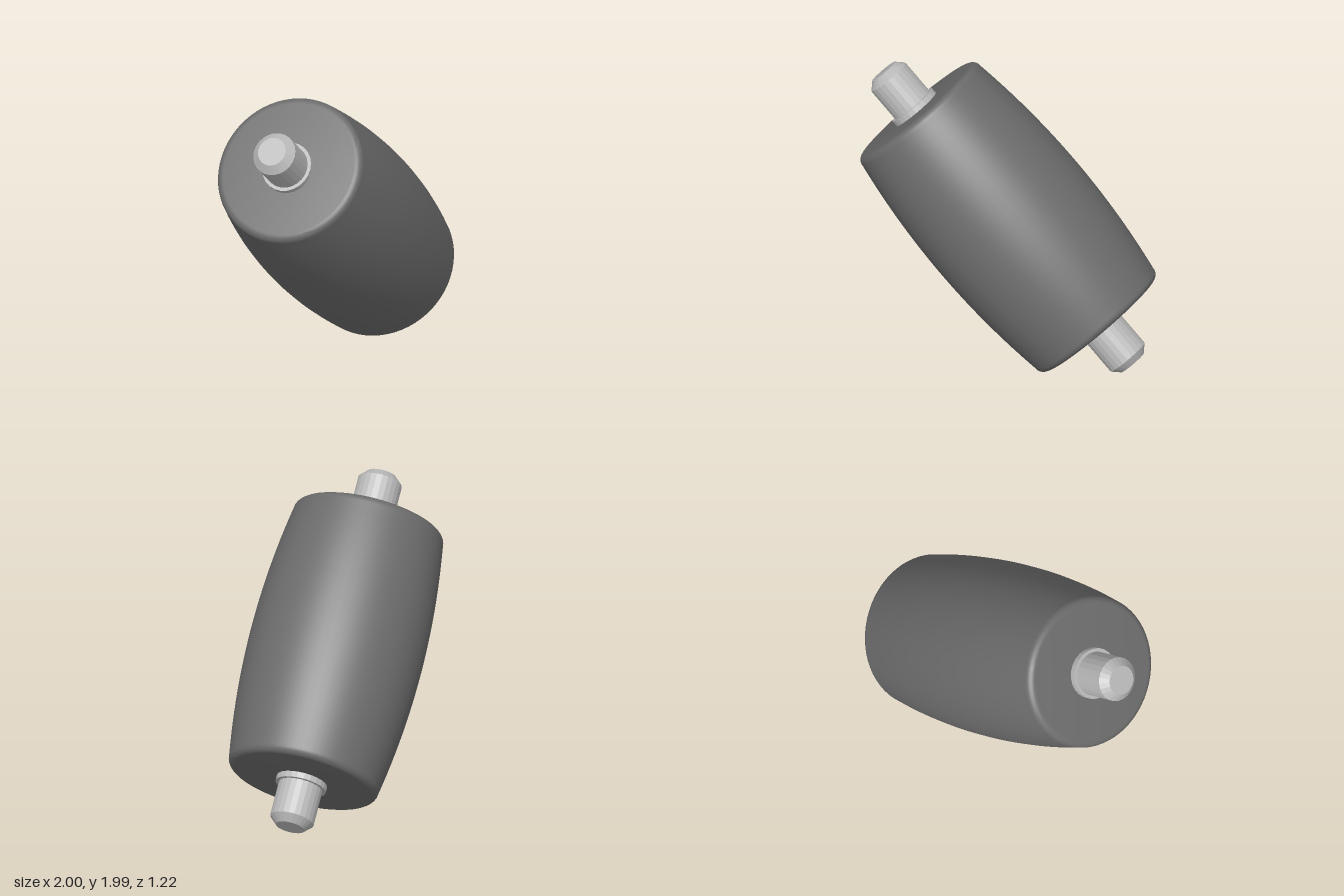
import * as THREE from 'three';
import { toCreasedNormals } from 'three/addons/utils/BufferGeometryUtils.js';

const HALF_LENGTH = 0.935; // barrel face distance from centre, along the axis
const MID_RADIUS = 0.578, END_RADIUS = 0.507, ROUND = 0.05;

// Bulging barrel outline with rounded rims and flat ends, from bottom to top
function barrelProfile() {
  const half = [];
  const shoulder = HALF_LENGTH - ROUND;
  for (let i = 0; i <= 12; i++) {
    const t = i / 12;
    half.push([MID_RADIUS - (MID_RADIUS - END_RADIUS) * t * t, shoulder * t]);
  }
  for (let i = 1; i <= 6; i++) {
    const a = (i / 6) * Math.PI / 2;
    half.push([END_RADIUS - ROUND + ROUND * Math.cos(a), shoulder + ROUND * Math.sin(a)]);
  }
  half.push([0, HALF_LENGTH]);
  const lower = half.slice(1).reverse().map(([r, y]) => [r, -y]);
  return [...lower, ...half].map(([r, y]) => new THREE.Vector2(r, y));
}

export function createModel() {
  const rubber = new THREE.MeshStandardMaterial({ color: 0x6b6b6b });
  rubber.name = 'dark grey rubber';
  const steel = new THREE.MeshStandardMaterial({ color: 0xb8b8b8 });
  steel.name = 'light grey steel';

  const model = new THREE.Group();
  model.name = 'barrelRoller';

  const roller = new THREE.Group();
  roller.name = 'tiltedRoller';
  model.add(roller);

  // Barrel
  const barrelGeometry = toCreasedNormals(new THREE.LatheGeometry(barrelProfile(), 64), Math.PI / 5);
  const barrel = new THREE.Mesh(barrelGeometry, rubber);
  barrel.name = 'barrel';
  roller.add(barrel);

  // Axle stub with collar and chamfered tip, faceted; one at each end
  const stubPoints = [
    [0, 0.9], [0.17, 0.9], [0.17, 0.975], [0.147, 0.975],
    [0.147, 1.217], [0.097, 1.267], [0, 1.267],
  ].map(([r, y]) => new THREE.Vector2(r, y));
  const stubGeometry = new THREE.LatheGeometry(stubPoints, 24).toNonIndexed();
  stubGeometry.computeVertexNormals();
  for (const [name, turn] of [['upperAxleStub', 0], ['lowerAxleStub', Math.PI]]) {
    const stub = new THREE.Mesh(stubGeometry, steel);
    stub.name = name;
    stub.rotation.x = turn;
    roller.add(stub);
  }

  // Lean the whole roller along its diagonal axis
  const axis = new THREE.Vector3(-0.9, 0.88, 0.15).normalize();
  roller.quaternion.setFromUnitVectors(new THREE.Vector3(0, 1, 0), axis);
  roller.position.y = 0.995;
  return model;
}
